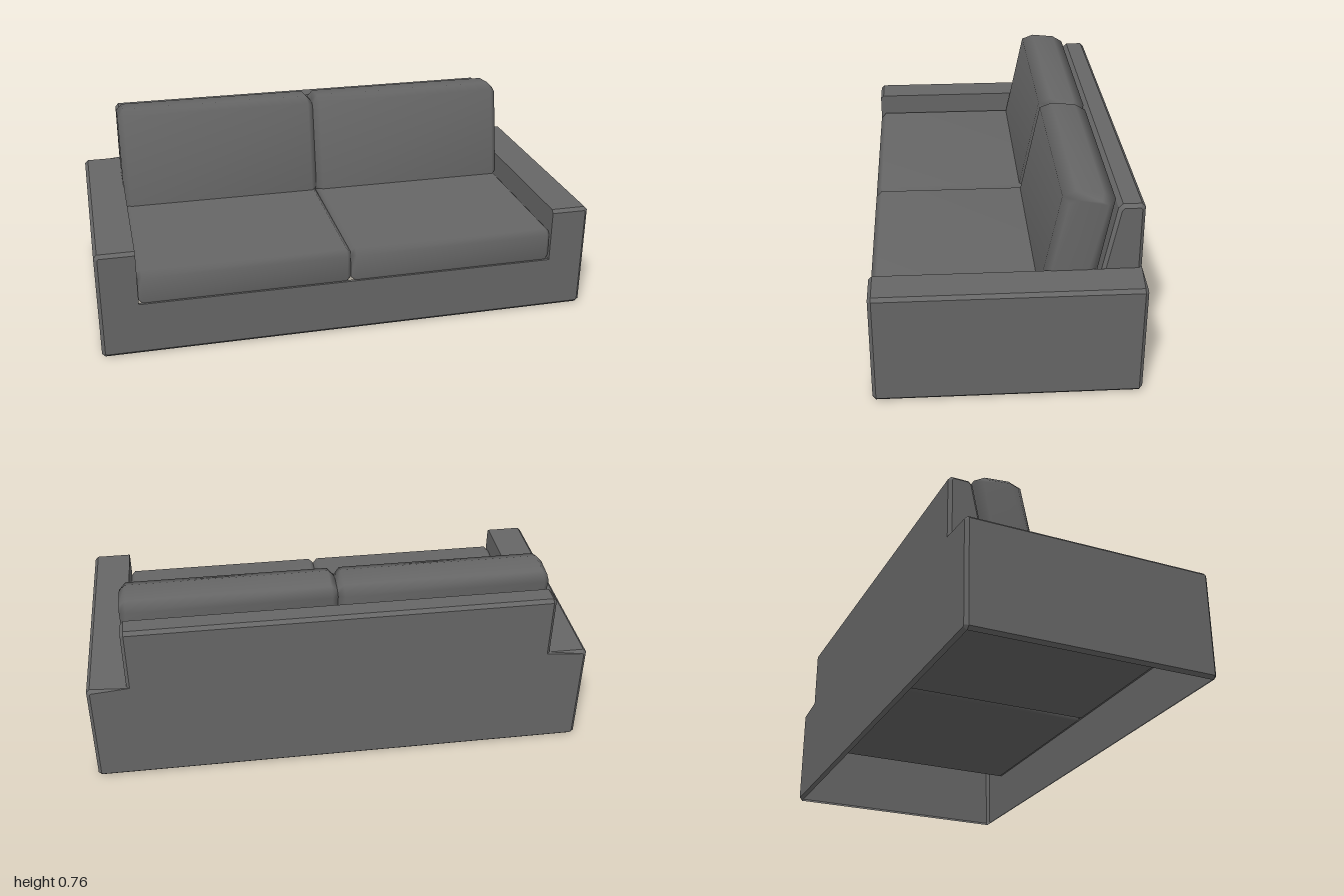
import * as THREE from 'three';
import { mergeVertices, toCreasedNormals } from 'three/addons/utils/BufferGeometryUtils.js';

const material = new THREE.MeshStandardMaterial({ color: 0x666666 });
const shellMaterial = new THREE.MeshStandardMaterial({ color: 0x666666, side: THREE.DoubleSide });
const BEVEL = 0.013;
const CREASE = 0.5;

// Extrude an outline by a total depth, bevelled inwards so the outline stays its full size
function prism(points, depth, bevel) {
  const shape = new THREE.Shape(points.map(([a, b]) => new THREE.Vector2(a, b)));
  const geometry = new THREE.ExtrudeGeometry(shape, {
    depth: depth - 2 * bevel,
    bevelSize: bevel,
    bevelThickness: bevel,
    bevelOffset: -bevel,
    bevelSegments: 1,
  });
  return geometry.translate(0, 0, -depth / 2 + bevel);
}

// A side profile of [z, y] points, extruded across x
function crossPrism(profile, centreX, width, bevel) {
  return prism(profile, width, bevel).rotateY(-Math.PI / 2).translate(centreX, 0, 0);
}

// Soft edges around nearly flat faces: shared vertices with area-weighted normals
function soften(geometry) {
  geometry.deleteAttribute('normal');
  geometry.deleteAttribute('uv');
  const merged = mergeVertices(geometry, 1e-4);
  merged.computeVertexNormals();
  return merged;
}

function part(name, geometry, mat = material) {
  const mesh = new THREE.Mesh(geometry, mat);
  mesh.name = name;
  return mesh;
}

// Keep only the triangles whose three heights pass the test
function filterTriangles(geometry, keep) {
  const p = geometry.attributes.position;
  const kept = [];
  for (let i = 0; i < p.count; i += 3) {
    if (!keep([p.getY(i), p.getY(i + 1), p.getY(i + 2)])) continue;
    for (let k = i; k < i + 3; k++) kept.push(p.getX(k), p.getY(k), p.getZ(k));
  }
  const result = new THREE.BufferGeometry();
  result.setAttribute('position', new THREE.Float32BufferAttribute(kept, 3));
  return result;
}

// Hollow base with both arms, open underneath and below the cushions
function createFrame() {
  const arm = 0.845, deck = 0.22, top = 0.443, c = BEVEL;
  const half = [[arm, deck], [arm, top], [1 - c, top], [1, top - c], [1, c], [1 - c, 0]];
  const outline = [...half, ...half.map(([x, y]) => [-x, y]).reverse()];
  const frame = filterTriangles(prism(outline, 1, c), (ys) =>
    ![0, deck].some((level) => ys.every((y) => Math.abs(y - level) < 1e-4)));

  // Square off the rims of the notch so the cushions and backrest sit flush
  const p = frame.attributes.position;
  for (let i = 0; i < p.count; i++) {
    const x = p.getX(i), y = p.getY(i), z = p.getZ(i);
    if (Math.abs(z) < 0.495 || Math.abs(x) > arm + 0.02 || y < 0.1) continue;
    p.setX(i, Math.sign(x) * (z > 0 ? arm : arm - c));
    if (y < deck) p.setY(i, deck);
    else if (z < 0) p.setY(i, top);
  }
  return part('frameWithArms', toCreasedNormals(frame, CREASE), shellMaterial);
}

export function createModel() {
  const sofa = new THREE.Group();
  sofa.name = 'sofa';
  sofa.add(createFrame());

  // Backrest with a sloping front
  const backrest = [[-0.5, 0.22], [-0.5, 0.69], [-0.487, 0.704], [-0.418, 0.704], [-0.402, 0.688], [-0.31, 0.22]];
  sofa.add(part('backrest', toCreasedNormals(crossPrism(backrest, 0, 1.69, BEVEL), CREASE)));

  // Seat and back cushions, one pair on each side, touching in the middle
  const seat = [
    [0.485, 0.213], [0.5, 0.23], [0.5, 0.332], [0.478, 0.357],
    [-0.31, 0.357], [-0.335, 0.335], [-0.335, 0.235], [-0.315, 0.213],
  ];
  const back = [
    [-0.122, 0.355], [-0.2, 0.737], [-0.25, 0.756], [-0.348, 0.746],
    [-0.392, 0.72], [-0.322, 0.345], [-0.285, 0.3], [-0.165, 0.31],
  ];
  for (const [side, label] of [[1, 'left'], [-1, 'right']]) {
    sofa.add(part(label + 'SeatCushion', soften(crossPrism(seat, side * 0.423, 0.846, 0.018))));
    sofa.add(part(label + 'BackCushion', soften(crossPrism(back, side * 0.424, 0.848, 0.025))));
  }
  return sofa;
}
